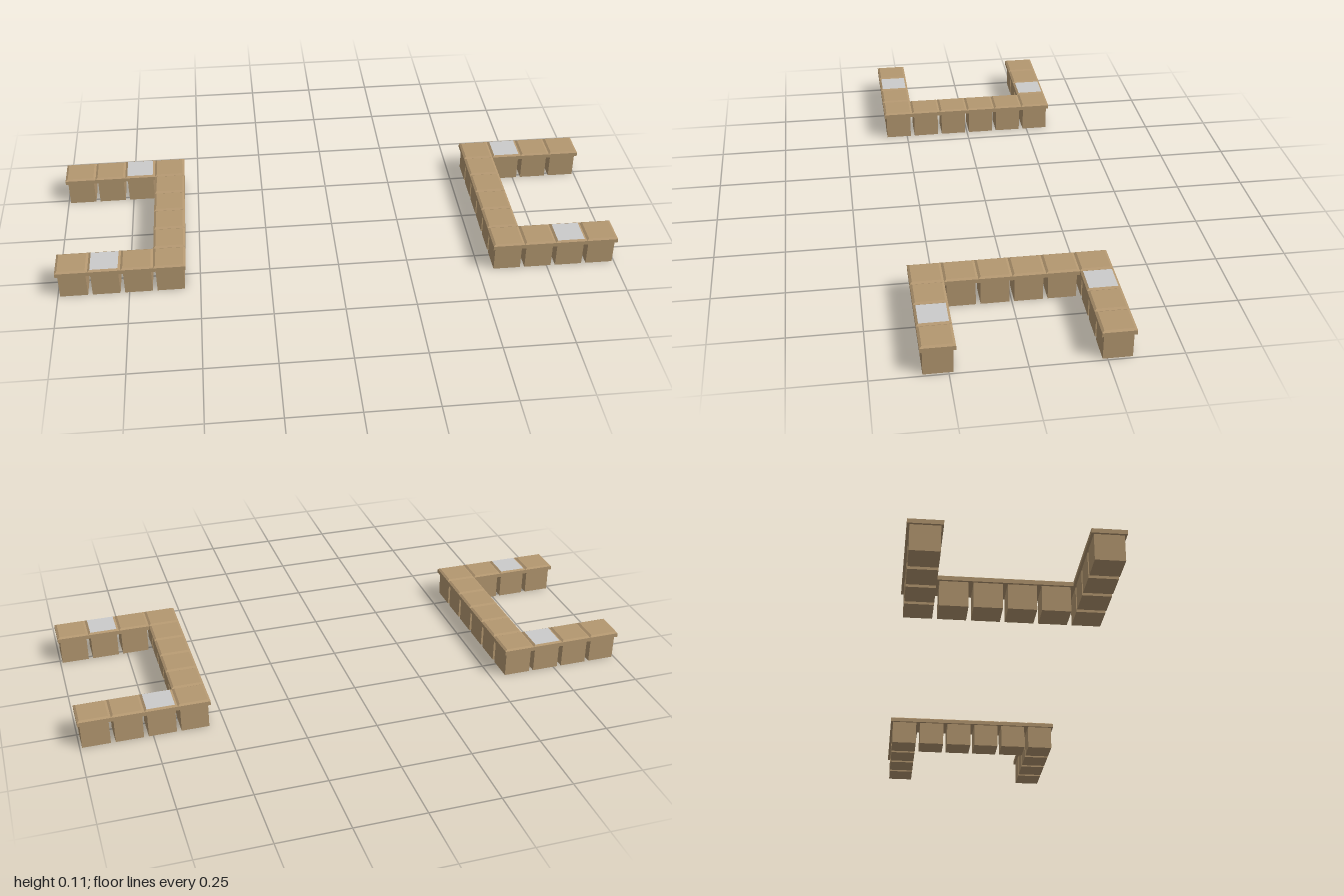
import * as THREE from 'three';

const CELL = 0.1133;   // width of one cabinet's worktop
const BODY = 0.097;    // cabinet body, slightly narrower than its top
const BODY_TOP = 0.091, RIM = 0.106, HEIGHT = 0.111, BEVEL = 0.008;

export function createModel() {
  const model = new THREE.Group();
  model.name = 'counters';

  const wood = new THREE.MeshStandardMaterial({ color: 0xb39770, flatShading: true });
  const metal = new THREE.MeshStandardMaterial({ color: 0xcccccc });

  const bodyGeo = new THREE.BoxGeometry(BODY, BODY_TOP, BODY).translate(0, BODY_TOP / 2, 0);

  // Square slab with a bevelled upper edge: a four-sided lathe
  const half = CELL / 2;
  const profile = [[0, BODY_TOP], [half, BODY_TOP], [half, RIM], [half - BEVEL, HEIGHT]]
    .map(([r, y]) => new THREE.Vector2(r * Math.SQRT2, y));
  const slabGeo = new THREE.LatheGeometry(profile, 4, Math.PI / 4);

  // Flat face that closes the slab
  const flat = CELL - 2 * BEVEL;
  const faceGeo = new THREE.PlaneGeometry(flat, flat).rotateX(-Math.PI / 2).translate(0, HEIGHT, 0);

  function addCabinet(parent, x, z, isMetal) {
    const cabinet = new THREE.Group();
    cabinet.name = 'cabinet';
    const parts = [
      ['cabinetBody', bodyGeo, wood],
      ['worktopSlab', slabGeo, wood],
      ['worktopFace', faceGeo, isMetal ? metal : wood],
    ];
    for (const [name, geo, mat] of parts) {
      const mesh = new THREE.Mesh(geo, mat);
      mesh.name = name;
      cabinet.add(mesh);
    }
    cabinet.position.set(x, 0, z);
    parent.add(cabinet);
  }

  // Two mirrored U-shaped runs, open toward the outer sides
  for (const side of [-1, 1]) {
    const run = new THREE.Group();
    run.name = side > 0 ? 'leftCounter' : 'rightCounter';
    for (let row = 0; row < 6; row++) {            // back to front
      const isArm = row === 0 || row === 5;
      for (let col = 0; col < (isArm ? 4 : 1); col++) { // inner to outer
        const x = side * (1 - CELL * (3.5 - col));
        const z = (row - 2.5) * CELL;
        const isMetal = (row === 0 && col === 1) || (row === 5 && col === 2);
        addCabinet(run, x, z, isMetal);
      }
    }
    model.add(run);
  }
  return model;
}
